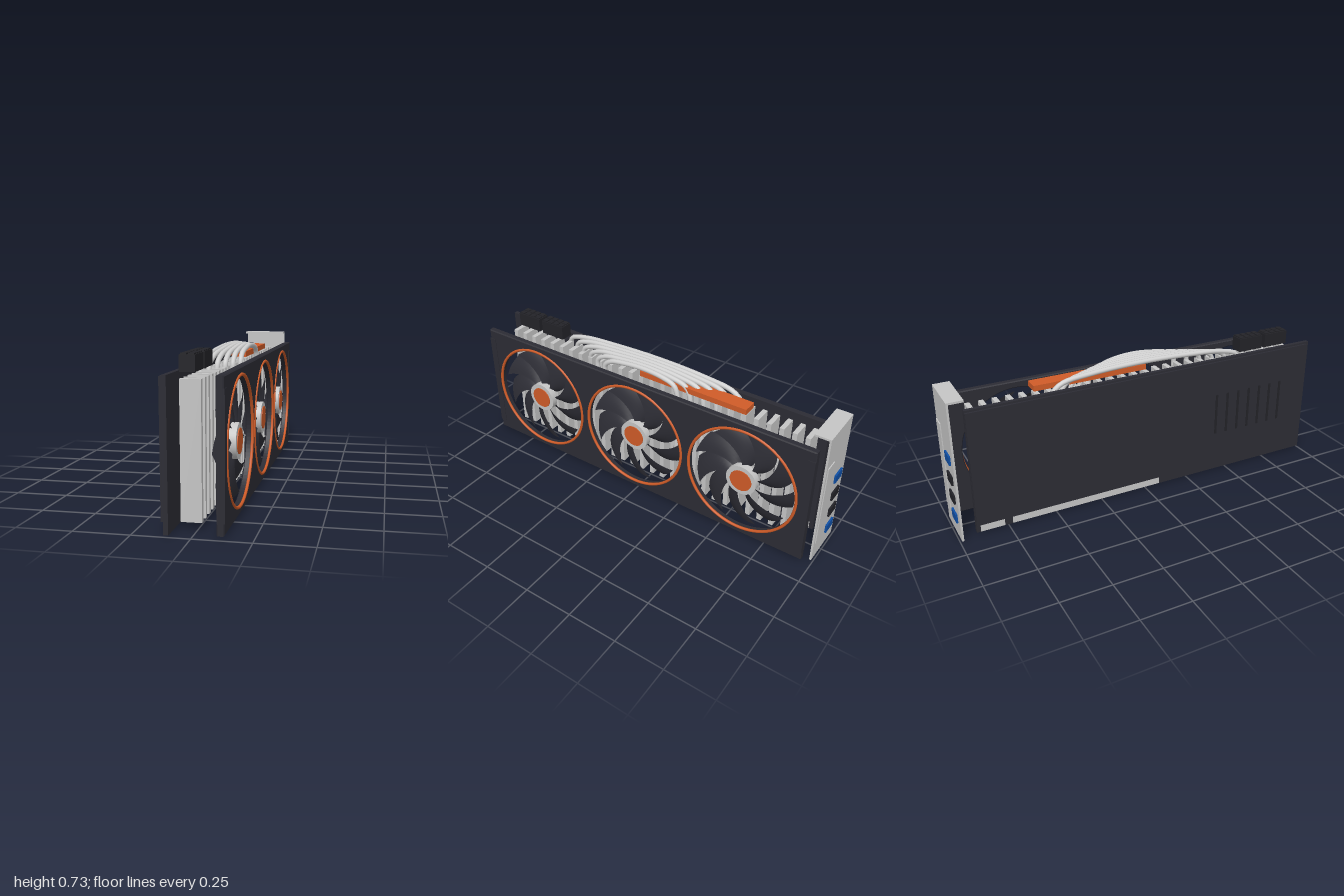
import * as THREE from 'three';

const material = (name, color, extra = {}) => {
  const m = new THREE.MeshStandardMaterial({ color, ...extra });
  m.name = name;
  return m;
};

export function createModel() {
  const dark = material('charcoal', 0x2c2c34);
  const bladeMat = material('bladeCharcoal', 0x2e2e36, { side: THREE.DoubleSide });
  const black = material('nearBlack', 0x232328);
  const silver = material('silver', 0xc6c6c6);
  const pipeMat = material('pipeSilver', 0xd0d0d0);
  const orange = material('orange', 0xd05c28);
  const blue = material('blue', 0x1050a6);

  const model = new THREE.Group();
  model.name = 'graphicsCard';

  const add = (name, geometry, mat, parent = model) => {
    const mesh = new THREE.Mesh(geometry, mat);
    mesh.name = name;
    parent.add(mesh);
    return mesh;
  };
  // Box given by its limits on each axis
  const box = (name, mat, x0, x1, y0, y1, z0, z1, parent = model) => {
    const mesh = add(name, new THREE.BoxGeometry(x1 - x0, y1 - y0, z1 - z0), mat, parent);
    mesh.position.set((x0 + x1) / 2, (y0 + y1) / 2, (z0 + z1) / 2);
    return mesh;
  };

  // Circuit board, edge contacts and backplate
  box('circuitBoard', dark, -0.113, -0.092, 0.008, 0.65, -0.91, 1.0);
  for (const [z0, z1] of [[-0.89, -0.77], [-0.73, 0.08]]) {
    box('edgeContacts', silver, -0.115, -0.09, 0.01, 0.05, z0, z1);
  }
  box('backplate', dark, -0.13, -0.119, 0.055, 0.643, -0.91, 0.975);
  for (let i = 0; i < 7; i++) {
    const z = 0.41 + i * 0.067;
    box('backplateSlot', black, -0.134, -0.129, 0.235, 0.46, z - 0.006, z + 0.006);
  }

  // Heatsink fins
  for (let i = 0; i < 28; i++) {
    const z = -0.86 + i * 0.0647;
    box('heatsinkFin', silver, -0.068, 0.022, 0.035, 0.625, z - 0.012, z + 0.012);
  }

  // Heat pipes arching over the fins, shorter towards the fans
  for (let i = 0; i < 6; i++) {
    const x = -0.065 + i * 0.0235;
    const front = 0.57 - i * 0.064;
    const back = -0.48 + i * 0.058;
    const span = front - back;
    const at = (y, t) => new THREE.Vector3(x, y, front - span * t);
    const path = new THREE.CatmullRomCurve3([
      at(0.585, 0), at(0.64, 0.01), at(0.672, 0.1), at(0.69, 0.3), at(0.698, 0.55),
      at(0.688, 0.8), at(0.665, 0.95), at(0.62, 0.995), at(0.25, 1),
    ], false, 'centripetal');
    add('heatPipe', new THREE.TubeGeometry(path, 60, 0.0125, 12), pipeMat);
    for (const [y, z] of [[0.585, front], [0.25, back]]) {
      const cap = add('heatPipeEnd', new THREE.CircleGeometry(0.0125, 12), pipeMat);
      cap.rotation.x = Math.PI / 2;
      cap.position.set(x, y, z);
    }
  }

  // Accent plate on the top edge
  box('topAccentPlate', orange, -0.035, 0.04, 0.64, 0.668, -0.555, 0.04);

  // Power connectors with rows of pin sockets
  for (const z0 of [0.575, 0.735]) {
    const plug = new THREE.Group();
    plug.name = 'powerConnector';
    model.add(plug);
    box('connectorBody', black, -0.075, -0.008, 0.65, 0.72, z0, z0 + 0.14, plug);
    for (let i = 0; i < 4; i++) {
      for (const x of [-0.058, -0.025]) {
        const z = z0 + 0.0175 + i * 0.035;
        box('connectorSocket', black, x - 0.013, x + 0.013, 0.719, 0.726, z - 0.013, z + 0.013, plug);
      }
    }
  }

  // Mounting bracket with top flange, raised panel and ports
  box('bracketPlate', silver, -0.14, 0.095, 0, 0.715, -0.99, -0.98);
  box('bracketFlange', silver, -0.14, 0.095, 0.705, 0.715, -0.98, -0.91);
  box('bracketPanel', silver, 0.015, 0.082, 0.1, 0.55, -0.995, -0.989);
  [[0.106, blue], [0.21, black], [0.31, black], [0.415, blue]].forEach(([y, mat]) => {
    box('port', mat, -0.104, -0.03, y - 0.023, y + 0.023, -0.999, -0.988);
  });

  // Cooler side, built facing local +z and turned to face +x
  const cooler = new THREE.Group();
  cooler.name = 'cooler';
  cooler.rotation.y = Math.PI / 2;
  model.add(cooler);
  const fanCentres = [-0.64, -0.02, 0.6];
  const fanY = 0.33;

  // Shroud with three round openings
  const outline = new THREE.Shape();
  outline.moveTo(-0.97, 0.014);
  outline.lineTo(0.945, 0.014);
  outline.lineTo(0.945, 0.646);
  outline.lineTo(-0.97, 0.646);
  outline.closePath();
  for (const cx of fanCentres) {
    const hole = new THREE.Path();
    hole.absarc(cx, fanY, 0.291, 0, Math.PI * 2, true);
    outline.holes.push(hole);
  }
  const shroud = add('shroud', new THREE.ExtrudeGeometry(outline, {
    depth: 0.024, bevelEnabled: true, bevelThickness: 0.005, bevelSize: 0.005,
    bevelSegments: 1, curveSegments: 48,
  }), dark, cooler);
  shroud.position.z = 0.103;
  for (const [x0, x1] of [[-0.975, -0.938], [0.913, 0.95]]) {
    box('shroudEndTrim', dark, x0, x1, 0.06, 0.6, 0.1, 0.135, cooler);
  }

  // One swept and pitched fan blade
  const bladeGeometry = () => {
    const g = new THREE.PlaneGeometry(1, 1, 6, 10);
    const p = g.attributes.position;
    for (let i = 0; i < p.count; i++) {
      const u = p.getX(i) + 0.5;
      const t = p.getY(i) + 0.5;
      const r = 0.07 + 0.195 * t;
      const chord = 0.5 + 0.1 * Math.sin(Math.PI * t);
      const angle = 0.62 * Math.pow(t, 1.3) + (u - 0.5) * chord;
      const z = 0.066 + 0.042 * u + 0.006 * Math.sin(Math.PI * u);
      p.setXYZ(i, r * Math.cos(angle), r * Math.sin(angle), z);
    }
    g.computeVertexNormals();
    return g;
  };
  const blade = bladeGeometry();

  for (const cx of fanCentres) {
    const fan = new THREE.Group();
    fan.name = 'fan';
    fan.position.set(cx, fanY, 0);
    cooler.add(fan);
    for (let i = 0; i < 9; i++) {
      add('fanBlade', blade, bladeMat, fan).rotation.z = (i * Math.PI * 2) / 9;
    }
    const disc = (name, r, z0, z1, mat) => {
      const d = add(name, new THREE.CylinderGeometry(r, r, z1 - z0, 40), mat, fan);
      d.rotation.x = Math.PI / 2;
      d.position.z = (z0 + z1) / 2;
    };
    disc('fanHub', 0.08, 0.092, 0.126, silver);
    disc('fanHubCap', 0.057, 0.12, 0.13, orange);
    add('fanRing', new THREE.TorusGeometry(0.288, 0.0075, 8, 72), orange, fan).position.z = 0.131;
  }
  return model;
}
